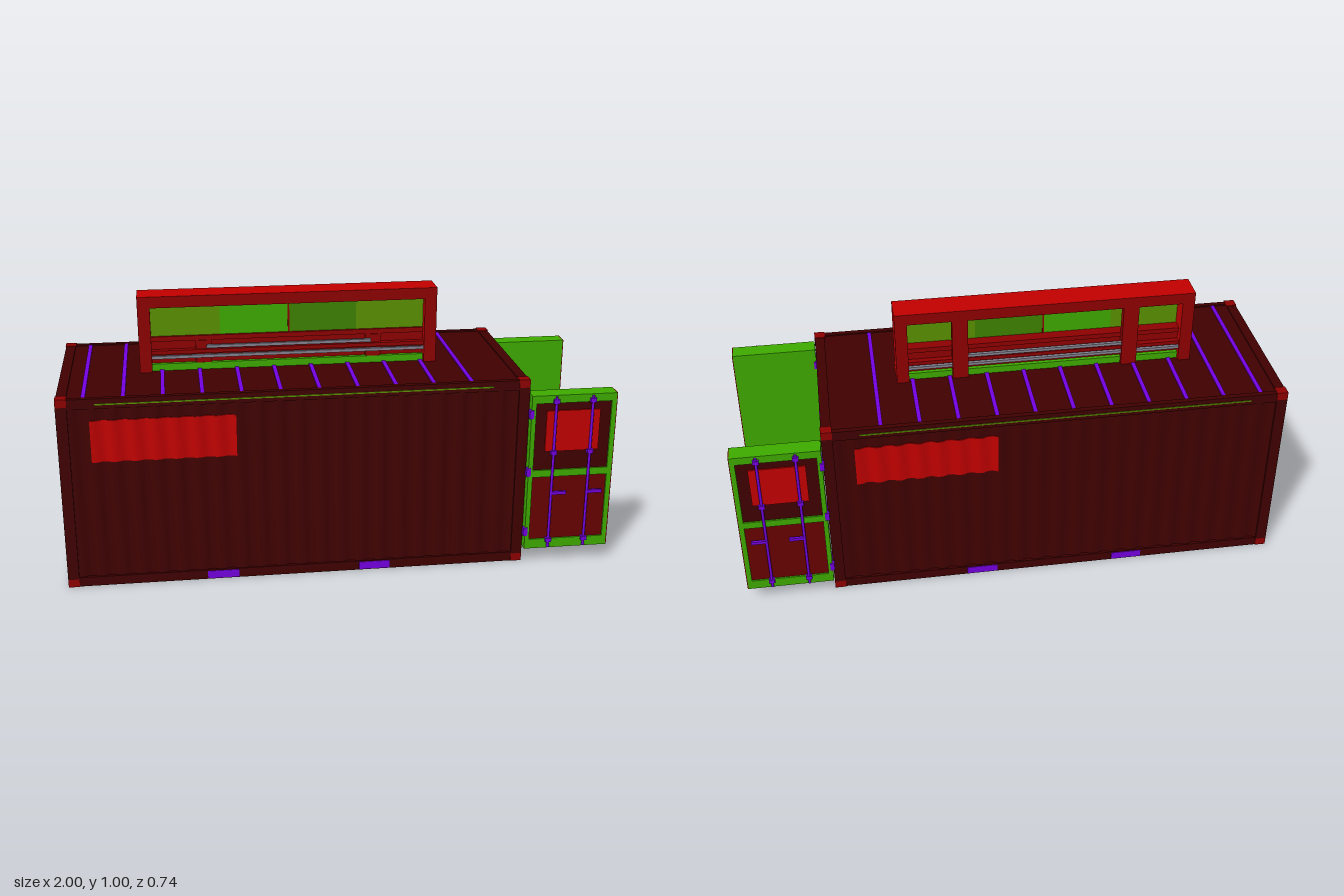
import * as THREE from 'three';
import { toCreasedNormals } from 'three/addons/utils/BufferGeometryUtils.js';

const mat = (name, color) => Object.assign(new THREE.MeshStandardMaterial({ color }), { name });
const M = {
  maroon: mat('dark maroon', 0x400000),
  panel: mat('deep red', 0x680000),
  red: mat('middle red', 0x8e0000),
  bright: mat('bright red', 0xc20000),
  green: mat('bright green', 0x3eaa00),
  darkGreen: mat('dark green', 0x3e8200),
  olive: mat('olive', 0x5a9000),
  purple: mat('purple', 0x7400e0),
  steel: mat('steel', 0x858290),
};

// Box given by its limits on each axis
function box(parent, name, material, x0, x1, y0, y1, z0, z1) {
  const mesh = new THREE.Mesh(new THREE.BoxGeometry(x1 - x0, y1 - y0, z1 - z0), material);
  mesh.position.set((x0 + x1) / 2, (y0 + y1) / 2, (z0 + z1) / 2);
  mesh.name = name;
  parent.add(mesh);
  return mesh;
}

function group(parent, name) {
  const g = new THREE.Group();
  g.name = name;
  parent.add(g);
  return g;
}

// Shallow corrugated sheet facing +z, from step i0 to i1 (four steps per wave)
function corrugated(parent, name, material, start, step, i0, i1, y0, y1, zOut, zBack) {
  const pts = [];
  for (let i = i0; i <= i1; i++) {
    pts.push(new THREE.Vector2(start + i * step, -(zOut - (i % 4 < 2 ? 0 : 0.008))));
  }
  pts.push(new THREE.Vector2(start + i1 * step, -zBack), new THREE.Vector2(start + i0 * step, -zBack));
  const geo = new THREE.ExtrudeGeometry(new THREE.Shape(pts), { depth: y1 - y0, bevelEnabled: false });
  geo.rotateX(-Math.PI / 2).translate(0, y0, 0);
  const mesh = new THREE.Mesh(toCreasedNormals(geo, 0.7), material);
  mesh.name = name;
  parent.add(mesh);
}

// Cargo door facing +z with its frame front at z = 0
function door(parent, name, o) {
  const g = group(parent, name);
  const { w, y0, y1, t, frame, dir } = o;
  const h = w / 2;
  box(g, 'doorSlab', frame, -h, h, y0, y1, -t, -0.012);
  const inner = h - 0.017, low = y0 + 0.037, high = y1 - 0.03;
  for (const s of [-1, 1]) {
    const a = s * inner, b = s * h;
    box(g, 'doorStile', frame, Math.min(a, b), Math.max(a, b), y0, y1, -0.012, 0);
  }
  box(g, 'bottomRail', frame, -inner, inner, y0, low, -0.012, 0);
  box(g, 'middleRail', frame, -inner, inner, 0.348, 0.375, -0.012, 0);
  box(g, 'topRail', frame, -inner, inner, high, y1, -0.012, 0);
  box(g, 'lowerPanel', M.panel, -inner, inner, low, 0.348, -0.012, -0.006);
  box(g, 'upperPanel', M.maroon, -inner, inner, 0.375, high, -0.012, -0.006);
  if (o.sign) box(g, 'doorSign', M.bright, -o.sign / 2, o.sign / 2, 0.448, 0.605, -0.006, -0.001);

  // Locking bars, clamps and handles
  for (const s of [-1, 1]) {
    const x = s * o.bar;
    const rod = new THREE.Mesh(new THREE.CylinderGeometry(0.0052, 0.0052, y1 - y0 - 0.01, 12), M.purple);
    rod.position.set(x, (y0 + y1) / 2, 0.004);
    rod.name = 'lockingBar';
    g.add(rod);
    for (const y of [y0 + 0.034, 0.445, y1 - 0.022]) {
      box(g, 'barClamp', M.purple, x - 0.011, x + 0.011, y - 0.008, y + 0.008, -0.005, 0.011);
    }
    const end = x + dir * 0.055;
    box(g, 'handle', M.purple, Math.min(x, end), Math.max(x, end), 0.279, 0.291, 0.001, 0.011);
  }
  return g;
}

// One long side: wall, sign, rails and fork pockets, facing +z
function longSide(parent, name) {
  const g = group(parent, name);
  const step = 1.6 / 88;
  corrugated(g, 'corrugatedWall', M.maroon, -0.8, step, 0, 88, 0.03, 0.69, 0.328, 0.29);
  corrugated(g, 'wallSign', M.bright, -0.8, step, 4, 32, 0.48, 0.635, 0.331, 0.31);
  box(g, 'bottomRail', M.maroon, -0.8, 0.8, 0, 0.035, 0.3, 0.332);
  box(g, 'topRail', M.maroon, -0.8, 0.8, 0.68, 0.717, 0.312, 0.332);
  box(g, 'trimLine', M.olive, -0.705, 0.705, 0.694, 0.699, 0.33, 0.3345);
  for (const x of [-0.28, 0.28]) {
    box(g, 'forkPocket', M.purple, x - 0.057, x + 0.057, 0.003, 0.032, 0.3, 0.3345);
  }
  return g;
}

// Raised window unit on the roof
function roofWindow(parent) {
  const g = group(parent, 'roofWindow');
  const faces = [M.bright, M.bright, M.bright, M.bright, M.red, M.red];
  for (const [a, b] of [[-0.55, -0.505], [0.505, 0.55]]) {
    box(g, 'sideFrame', faces, a, b, 0.71, 0.955, -0.053, 0.053);
  }
  box(g, 'topFrame', faces, -0.55, 0.55, 0.955, 0.997, -0.053, 0.053);
  box(g, 'sillRail', M.red, -0.505, 0.505, 0.822, 0.84, -0.03, 0.03);
  // Four panes with a narrow centre bar
  const panes = [M.olive, M.green, M.darkGreen, M.olive];
  panes.forEach((m, i) => {
    const x = -0.505 + i * 0.2525;
    box(g, 'windowPane', m, x, x + 0.2525, 0.84, 0.955, 0.012, 0.02);
  });
  box(g, 'centreBar', M.red, -0.003, 0.003, 0.84, 0.955, 0.01, 0.023);
  // Lower panel with its rails
  box(g, 'lowerPanel', M.red, -0.505, 0.505, 0.71, 0.822, -0.02, 0.02);
  box(g, 'greenSill', M.green, -0.505, 0.505, 0.71, 0.738, -0.035, 0.035);
  for (const s of [-1, 1]) {
    const z = s * 0.03;
    box(g, 'lowerSlat', M.red, -0.505, 0.505, 0.776, 0.79, z - 0.012, z + 0.012);
    for (const [y, half] of [[0.765, 0.505], [0.801, 0.305]]) {
      box(g, 'steelRail', M.steel, -half, half, y - 0.0055, y + 0.0055, s * 0.04 - 0.006, s * 0.04 + 0.006);
    }
    box(g, 'rearPost', M.red, s * 0.315 - 0.029, s * 0.315 + 0.029, 0.71, 0.955, -0.05, -0.02);
    box(g, 'frontPost', M.red, s * 0.315 - 0.029, s * 0.315 + 0.029, 0.738, 0.822, 0.01, 0.034);
  }
}

// Flat rectangular frame under the floor
function floorFrame(g, name, m, x0, x1, z0, z1, t) {
  box(g, name, m, x0, x1, 0.003, 0.014, z0, z0 + t);
  box(g, name, m, x0, x1, 0.003, 0.014, z1 - t, z1);
  box(g, name, m, x0, x0 + t, 0.003, 0.014, z0, z1);
  box(g, name, m, x1 - t, x1, 0.003, 0.014, z0, z1);
}

function underside(parent) {
  const g = group(parent, 'underside');
  box(g, 'floorPlate', M.panel, -0.8, 0.8, 0.008, 0.014, -0.3, 0.3);
  floorFrame(g, 'gridFrame', M.darkGreen, -0.344, 0.344, -0.163, 0.163, 0.016);
  for (const x of [-0.115, 0.115]) box(g, 'gridBar', M.darkGreen, x - 0.007, x + 0.007, 0.004, 0.014, -0.15, 0.15);
  for (const z of [-0.08, 0, 0.08]) box(g, 'gridSlat', M.maroon, -0.33, 0.33, 0.006, 0.014, z - 0.004, z + 0.004);
  for (const s of [-1, 1]) {
    const x = s * 0.47;
    floorFrame(g, 'hatchFrame', M.bright, x - 0.075, x + 0.075, -0.085, 0.085, 0.018);
    floorFrame(g, 'hatchInnerFrame', M.bright, x - 0.042, x + 0.042, -0.05, 0.05, 0.013);
  }
}

export function createModel() {
  const model = new THREE.Group();
  model.name = 'container';
  const c = group(model, 'containerBody');
  c.position.x = -0.16;

  // Core, roof and long sides
  box(c, 'core', M.maroon, -0.795, 0.795, 0.012, 0.708, -0.3, 0.3);
  box(c, 'roof', M.maroon, -0.82, 0.82, 0.7, 0.712, -0.315, 0.315);
  for (let i = 0; i < 11; i++) {
    const x = -0.745 + i * 0.1375;
    box(c, 'roofRib', M.purple, x - 0.0075, x + 0.0075, 0.71, 0.716, -0.31, 0.31);
  }
  longSide(c, 'frontSide');
  longSide(c, 'backSide').rotation.y = Math.PI;

  // Closed end wall
  const end = group(c, 'endWall');
  end.rotation.y = -Math.PI / 2;
  corrugated(end, 'corrugatedEnd', M.maroon, -0.297, 0.594 / 32, 0, 32, 0.04, 0.68, 0.833, 0.78);

  // Corner posts, castings and cross rails
  for (const sx of [-1, 1]) {
    const [x0, x1] = sx < 0 ? [-0.84, -0.8] : [0.8, 0.84];
    for (const sz of [-1, 1]) {
      const [z0, z1] = sz < 0 ? [-0.335, -0.295] : [0.295, 0.335];
      box(c, 'cornerPost', M.maroon, x0, x1, 0.03, 0.69, z0, z1);
      for (const y of [0, 0.69]) box(c, 'cornerCasting', M.red, x0, x1, y, y + 0.03, z0, z1);
    }
    box(c, 'endTopRail', M.maroon, x0 + 0.002, x1 - 0.002, 0.67, 0.717, -0.295, 0.295);
    box(c, 'endSill', M.maroon, x0 + 0.002, x1 - 0.002, 0.001, 0.045, -0.295, 0.295);
  }

  // Closed door pair
  for (const s of [-1, 1]) {
    const d = door(c, 'closedDoor', {
      w: 0.293, y0: 0.045, y1: 0.67, t: 0.035, frame: M.darkGreen, bar: 0.0775, dir: -1, sign: s < 0 ? 0.225 : 0,
    });
    d.rotation.y = Math.PI / 2;
    d.position.set(0.825, 0, s * 0.1475);
  }

  // Open doors swung out along the sides, with red free edges and hinges
  for (const s of [1, -1]) {
    const d = door(c, 'openDoor', {
      w: 0.315, y0: 0.06, y1: 0.665, t: 0.064, frame: M.green, bar: 0.068, dir: s, sign: 0.2,
    });
    d.position.set(1.0, 0, s * 0.36);
    if (s < 0) d.rotation.y = Math.PI;
    const edge = s * 0.1585;
    box(d, 'doorEdge', M.red, edge - 0.0015, edge + 0.0015, 0.06, 0.665, -0.064, 0);
    for (const y of [0.13, 0.37, 0.595]) {
      const x = -s * 0.157;
      box(d, 'hinge', M.purple, x - 0.008, x + 0.008, y - 0.016, y + 0.016, -0.068, -0.05);
      box(d, 'hinge', M.purple, x - 0.008, x + 0.008, y - 0.016, y + 0.016, -0.015, 0.004);
    }
  }

  roofWindow(c);
  underside(c);
  return model;
}
